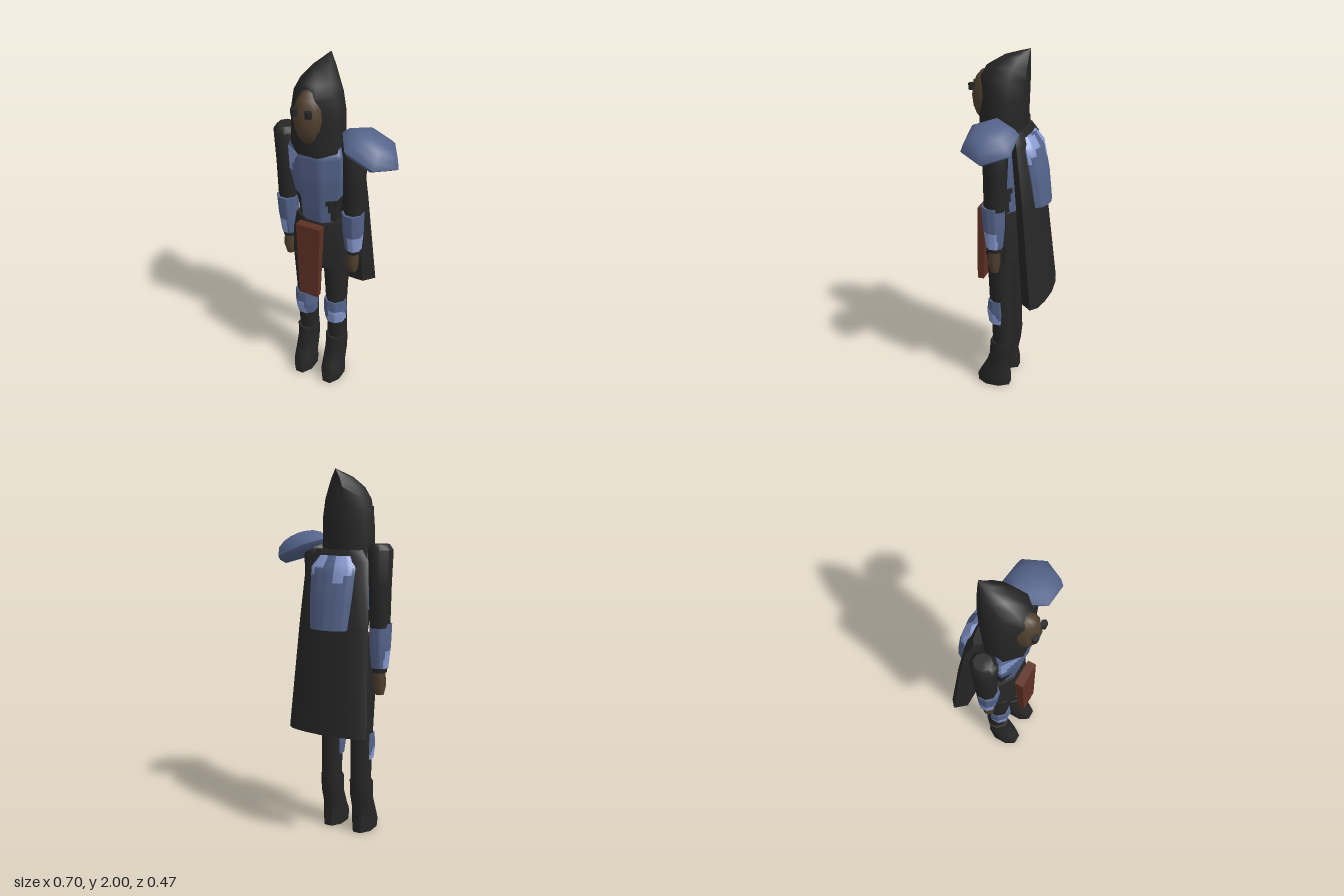
import * as THREE from 'three';
import { toCreasedNormals } from 'three/addons/utils/BufferGeometryUtils.js';

const paintOf = (name, color) => {
  const m = new THREE.MeshStandardMaterial({ color });
  m.name = name;
  return m;
};
const cloth = paintOf('dark cloth', 0x262626);
const armour = paintOf('blue armour', 0x54638a);
const worn = paintOf('pale worn armour', 0x8799cf);
const skin = paintOf('brown skin', 0x50402f);
const sash = paintOf('rust cloth', 0x5e3024);
const palette = [cloth, armour, worn];

// Cross-sections in a -1..1 square, running from +x towards +z
const octagon = Array.from({ length: 8 }, (_, i) => {
  const a = (i + 0.5) * Math.PI / 4, k = 1 / Math.cos(Math.PI / 8);
  return [Math.cos(a) * k, Math.sin(a) * k];
});
const square = [[1, -1], [1, 1], [-1, 1], [-1, -1]];
const capeShape = [[1, 0], [0.78, 1], [-0.78, 1], [-1, 0], [-0.84, -0.54], [-0.5, -0.84],
  [0, -1], [0.5, -0.84], [0.84, -0.54]];

// Closed skin through rings [y, halfWidth, zBack, zFront], lowest first.
// paint(x, y, z) may return a palette index for each face.
function loft(name, rings, material, { shape = octagon, sub = 1, paint, crease = 0.9 } = {}) {
  const section = [], levels = [], pos = [];
  const mix = (a, b, t) => a.map((v, i) => v + (b[i] - v) * t);
  shape.forEach((p, i) => {
    for (let s = 0; s < sub; s++) section.push(mix(p, shape[(i + 1) % shape.length], s / sub));
  });
  rings.forEach((r, i) => {
    const steps = i < rings.length - 1 ? sub : 1;
    for (let s = 0; s < steps; s++) levels.push(s ? mix(r, rings[i + 1], s / sub) : r);
  });
  for (const [y, rx, z0, z1] of levels) {
    for (const [u, v] of section) pos.push(u * rx, y, (z0 + z1) / 2 + v * (z1 - z0) / 2);
  }
  const n = section.length, last = levels.length - 1, base = levels.length * n;
  for (const [y, , z0, z1] of [levels[0], levels[last]]) pos.push(0, y, (z0 + z1) / 2);

  const buckets = [[], [], []];
  const face = (...ids) => {
    const c = [0, 1, 2].map(k => ids.reduce((t, i) => t + pos[i * 3 + k], 0) / ids.length);
    const bucket = buckets[paint ? paint(...c) : 0];
    for (let i = 2; i < ids.length; i++) bucket.push(ids[0], ids[i - 1], ids[i]);
  };
  for (let i = 0; i < n; i++) {
    const j = (i + 1) % n;
    for (let k = 0; k < last; k++) face(k * n + i, (k + 1) * n + i, (k + 1) * n + j, k * n + j);
    face(base, i, j);
    face(base + 1, last * n + j, last * n + i);
  }
  const g = new THREE.BufferGeometry();
  g.setAttribute('position', new THREE.Float32BufferAttribute(pos, 3));
  g.setIndex(buckets.flat());
  let start = 0;
  if (paint) buckets.forEach((b, i) => {
    if (b.length) g.addGroup(start, b.length, i);
    start += b.length;
  });
  const mesh = new THREE.Mesh(toCreasedNormals(g, crease), paint ? palette : material);
  mesh.name = name;
  return mesh;
}

function makeHead() {
  const head = new THREE.Group();
  head.name = 'head';
  head.add(loft('hood', [
    [1.54, 0.135, -0.06, 0.17], [1.62, 0.133, -0.07, 0.17], [1.75, 0.13, -0.075, 0.165],
    [1.85, 0.112, -0.08, 0.165], [1.91, 0.085, -0.083, 0.135], [1.96, 0.05, -0.087, 0.05],
    [1.985, 0.02, -0.09, -0.03], [2.0, 0.003, -0.092, -0.086],
  ], cloth));
  const face = new THREE.Mesh(new THREE.SphereGeometry(1, 10, 8), skin);
  face.name = 'face';
  face.scale.set(0.077, 0.145, 0.085);
  face.position.set(0, 1.745, 0.14);
  head.add(face);
  for (const s of [-1, 1]) {
    const eye = new THREE.Mesh(new THREE.CylinderGeometry(0.021, 0.021, 0.034, 6, 1, false, Math.PI / 2), cloth);
    eye.name = s > 0 ? 'leftEye' : 'rightEye';
    eye.scale.z = 0.8;
    eye.position.set(s * 0.039, 1.795, 0.217);
    head.add(eye);
  }
  return head;
}

function makeArm(side) {
  const arm = new THREE.Group();
  arm.name = side > 0 ? 'leftArm' : 'rightArm';
  arm.position.set(side * 0.2, 0, 0.035);
  arm.add(
    loft('sleeve', [[1.18, 0.05, -0.05, 0.06], [1.4, 0.055, -0.06, 0.062], [1.59, 0.061, -0.065, 0.07],
      [1.62, 0.043, -0.045, 0.045]], cloth),
    loft('bracer', [[0.96, 0.043, -0.036, 0.05], [1.08, 0.053, -0.045, 0.065], [1.2, 0.055, -0.045, 0.075]],
      armour, { sub: 5, paint: (x, y, z) => (y < 1.06 && y > 0.97 && z > -0.02 && x * side > -0.01 ? 2 : 1) }),
    loft('cuff', [[0.935, 0.036, -0.032, 0.044], [0.965, 0.04, -0.034, 0.046]], cloth),
    loft('hand', [[0.81, 0.022, -0.012, 0.03], [0.86, 0.031, -0.02, 0.044], [0.94, 0.03, -0.022, 0.036]], skin),
  );
  return arm;
}

function makeLeg(side) {
  const leg = new THREE.Group();
  leg.name = side > 0 ? 'leftLeg' : 'rightLeg';
  leg.position.x = side * 0.095;
  leg.add(
    loft('trouser', [[0.28, 0.053, -0.024, 0.085], [0.42, 0.055, -0.022, 0.09], [0.58, 0.056, -0.022, 0.102],
      [0.86, 0.068, -0.032, 0.112]], cloth),
    loft('kneeGuard', [[0.43, 0.056, -0.004, 0.108], [0.5, 0.063, -0.008, 0.118], [0.58, 0.06, 0.0, 0.11]],
      armour, { sub: 5, paint: (x, y, z) => (y < 0.51 && z > 0.02 && x * side > -0.02 && y < 0.43 + z ? 2 : 1) }),
    loft('boot', [[0, 0.057, -0.012, 0.178], [0.05, 0.062, -0.012, 0.182], [0.12, 0.06, 0, 0.143],
      [0.2, 0.06, -0.016, 0.105], [0.3, 0.06, -0.026, 0.102]], cloth),
  );
  return leg;
}

export function createModel() {
  const model = new THREE.Group();
  model.name = 'cloakedGuard';
  const body = new THREE.Group();
  body.name = 'body';
  body.position.x = -0.094;
  model.add(body);

  // Chest armour, dark at the lower flanks with one worn corner
  body.add(loft('chestArmour', [
    [1.11, 0.105, -0.035, 0.115], [1.2, 0.112, -0.035, 0.13], [1.4, 0.15, -0.04, 0.158],
    [1.54, 0.152, -0.04, 0.163], [1.62, 0.11, -0.03, 0.1],
  ], armour, {
    sub: 6,
    paint: (x, y, z) => {
      if (y < 1.27 && Math.abs(x) > 0.075 + (1.27 - y) * 0.1) return 0;
      return z > 0.05 && y > 1.41 && y < 1.54 && x < -0.135 + (y - 1.4) * 0.6 ? 2 : 1;
    },
  }));

  // Skirt and hanging front cloth
  body.add(loft('skirt', [[0.84, 0.158, -0.068, 0.14], [1.0, 0.155, -0.065, 0.135], [1.12, 0.135, -0.055, 0.122]], cloth));
  body.add(loft('frontCloth', [[0.67, 0.057, 0.16, 0.197], [1.12, 0.073, 0.138, 0.186]], sash,
    { shape: square, crease: 0.4 }));

  // Heavy cape with a curved back plate
  body.add(loft('cape', [
    [0.62, 0.242, -0.235, -0.11], [1.2, 0.21, -0.165, -0.066], [1.53, 0.19, -0.115, -0.035],
    [1.59, 0.14, -0.085, -0.015],
  ], cloth, { shape: capeShape, crease: 0.8 }));
  body.add(loft('backPlate', [
    [1.18, 0.112, -0.217, -0.1], [1.35, 0.128, -0.197, -0.08], [1.5, 0.134, -0.165, -0.06],
    [1.56, 0.095, -0.125, -0.05],
  ], armour, {
    shape: capeShape, sub: 4, crease: 0.8,
    paint: (x, y) => (y > 1.46 + 0.04 * Math.sin(x * 30) && Math.abs(x) > 0.03 ? 2 : 1),
  }));

  body.add(makeHead());
  for (const side of [-1, 1]) body.add(makeArm(side), makeLeg(side));

  // Single tilted six-sided shoulder guard
  const profile = [[0, 0], [0.14, 0], [0.17, 0.03], [0.145, 0.075], [0.1, 0.102], [0.05, 0.117], [0, 0.119]]
    .map(p => new THREE.Vector2(...p));
  const guard = new THREE.Mesh(
    toCreasedNormals(new THREE.LatheGeometry(profile, 6, Math.PI / 2), 1.1), armour);
  guard.name = 'leftShoulderGuard';
  guard.scale.z = 0.88;
  guard.rotation.z = -0.4;
  guard.position.set(0.178, 1.55, 0.034);
  model.add(guard);
  return model;
}
